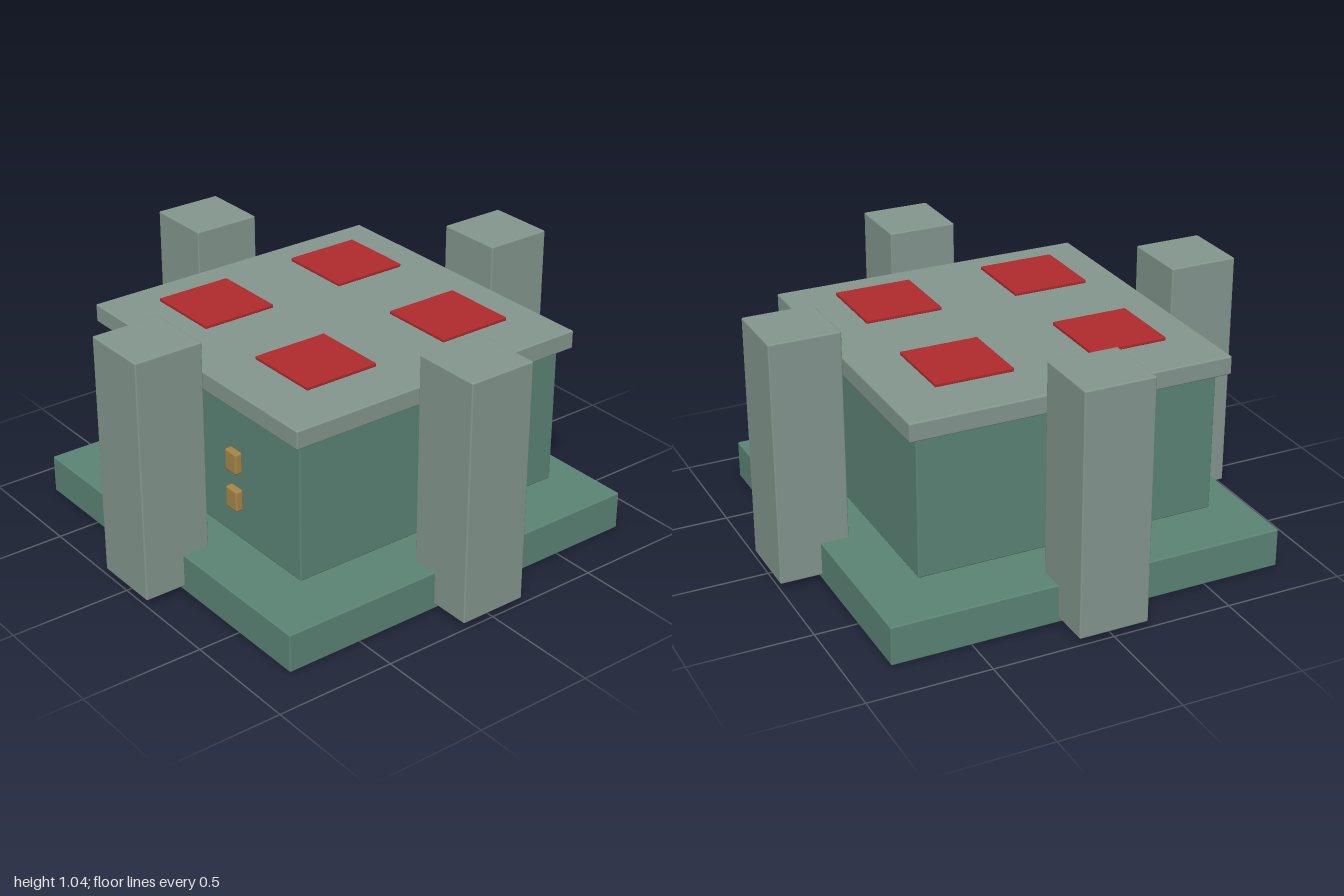
import * as THREE from 'three';
import { RoundedBoxGeometry } from 'three/addons/geometries/RoundedBoxGeometry.js';

function material(name, color) {
  const m = new THREE.MeshStandardMaterial({ color });
  m.name = name;
  return m;
}

export function createModel() {
  const model = new THREE.Group();
  model.name = 'pillaredBlock';

  const green = material('muted green', 0x5b8475);
  const grey = material('sage grey', 0x84968e);
  const red = material('red', 0xb02a2c);
  const gold = material('gold', 0xa48546);

  // Softly bevelled box spanning y0..y1, centred on x, z
  function box(name, mat, w, y0, y1, d, x = 0, z = 0, r = 0.006) {
    const mesh = new THREE.Mesh(new RoundedBoxGeometry(w, y1 - y0, d, 2, r), mat);
    mesh.name = name;
    mesh.position.set(x, (y0 + y1) / 2, z);
    model.add(mesh);
    return mesh;
  }

  // Main stack: base slab, floating body, roof slab
  box('base', green, 1.654, 0.004, 0.166, 1.654);
  box('body', green, 1.256, 0.215, 0.808, 1.256);
  box('roof', grey, 1.34, 0.803, 0.879, 1.34);

  // Raised strip on the front
  box('frontStrip', green, 0.084, 0.232, 0.803, 0.024, -0.381, 0.658);

  // Four front studs
  for (const x of [-0.245, 0.245]) {
    for (const y of [0.405, 0.566]) {
      box('stud', gold, 0.072, y - 0.045, y + 0.045, 0.034, x, 0.652, 0.009);
    }
  }

  // Red plates hovering above the roof
  for (const x of [-0.324, 0.324]) {
    for (const z of [-0.324, 0.324]) {
      box('roofPlate', red, 0.322, 0.906, 0.92, 0.322, x, z, 0.003);
    }
  }

  // A pillar with an octagonal foot at the middle of each side
  const footGeometry = new THREE.CylinderGeometry(0.096, 0.096, 0.04, 8).toNonIndexed();
  footGeometry.computeVertexNormals();
  for (const [x, z] of [[1, 0], [-1, 0], [0, 1], [0, -1]]) {
    box('pillar', grey, 0.29, 0.026, 1.038, 0.29, x * 0.855, z * 0.855);
    const foot = new THREE.Mesh(footGeometry, gold);
    foot.name = 'foot';
    foot.position.set(x * 0.855, 0.02, z * 0.855);
    model.add(foot);
  }

  return model;
}
